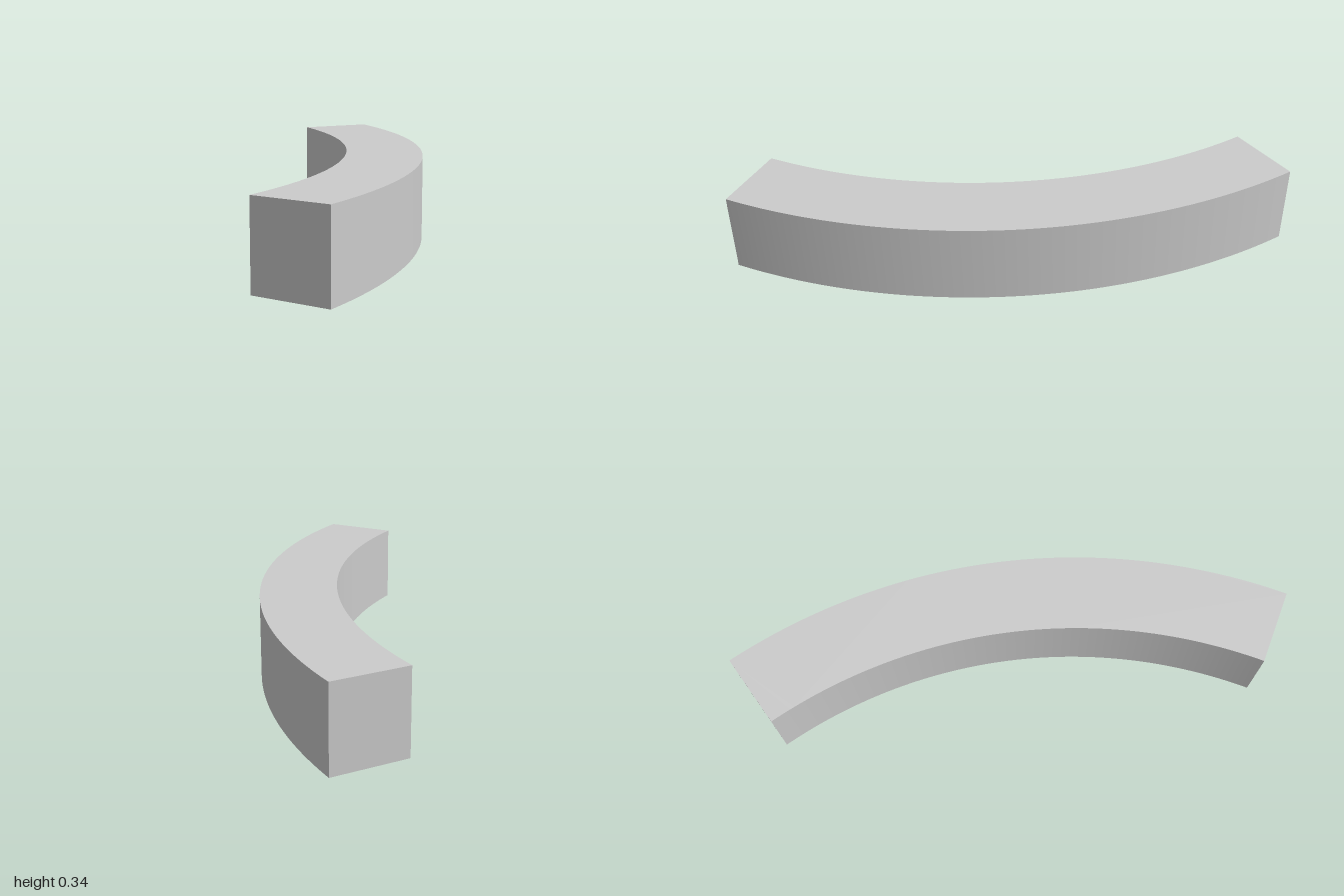
import * as THREE from 'three';
import { toCreasedNormals } from 'three/addons/utils/BufferGeometryUtils.js';

const INNER_RADIUS = 2.053;
const OUTER_RADIUS = 2.369;
const SWEEP = THREE.MathUtils.degToRad(57.58);
const HEIGHT = 0.337;
const CENTRE = { x: -1.737, z: 1 };

export function createModel() {
  const group = new THREE.Group();
  group.name = 'curvedBlock';

  // Plan outline: a sector of a ring, closed by two radial ends
  const outline = new THREE.Shape();
  outline.absarc(0, 0, OUTER_RADIUS, 0, SWEEP, false);
  outline.absarc(0, 0, INNER_RADIUS, SWEEP, 0, true);
  outline.closePath();

  // Raise the outline to full height, smooth along the arcs and sharp at the edges
  const solid = new THREE.ExtrudeGeometry(outline, {
    depth: HEIGHT,
    bevelEnabled: false,
    curveSegments: 48,
  });
  solid.rotateX(-Math.PI / 2);
  solid.translate(CENTRE.x, 0, CENTRE.z);

  const block = new THREE.Mesh(
    toCreasedNormals(solid, Math.PI / 6),
    new THREE.MeshStandardMaterial({ color: 0xcccccc })
  );
  block.name = 'arcSegment';
  group.add(block);
  return group;
}
